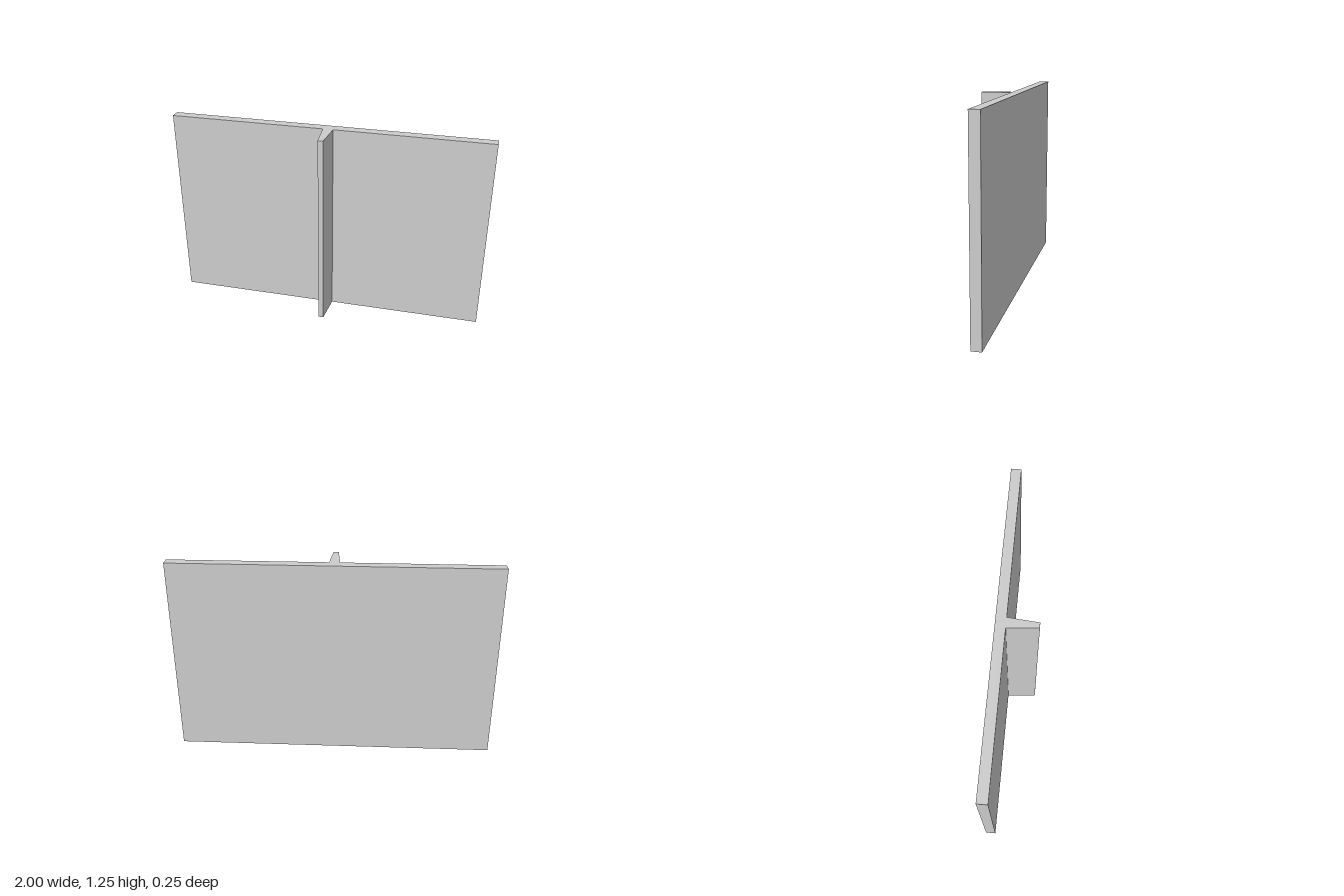
import * as THREE from 'three';

const HEIGHT = 1.25;
const BACK = -0.125, FACE = -0.0625, TIP = 0.125; // z of plate back, plate face, rib tip
const RIB_BASE = 0.032, RIB_TIP = 0.016; // rib half widths

export function createModel() {
  const group = new THREE.Group();
  group.name = 'ribbedPanel';

  // Half of the T-shaped plan as [x, z], mirrored for the other half
  const half = [[RIB_TIP, TIP], [RIB_BASE, FACE], [1, FACE], [1, BACK]];
  const plan = [...half, ...half.map(([x, z]) => [-x, z]).reverse()];
  const shape = new THREE.Shape(plan.map(([x, z]) => new THREE.Vector2(x, -z)));

  // Plate and tapered rib in one piece, extruded upwards
  const geometry = new THREE.ExtrudeGeometry(shape, { depth: HEIGHT, bevelEnabled: false });
  geometry.rotateX(-Math.PI / 2);

  const panel = new THREE.Mesh(
    geometry,
    new THREE.MeshStandardMaterial({ color: 0xcccccc, flatShading: true })
  );
  panel.name = 'plateWithRib';
  group.add(panel);
  return group;
}
